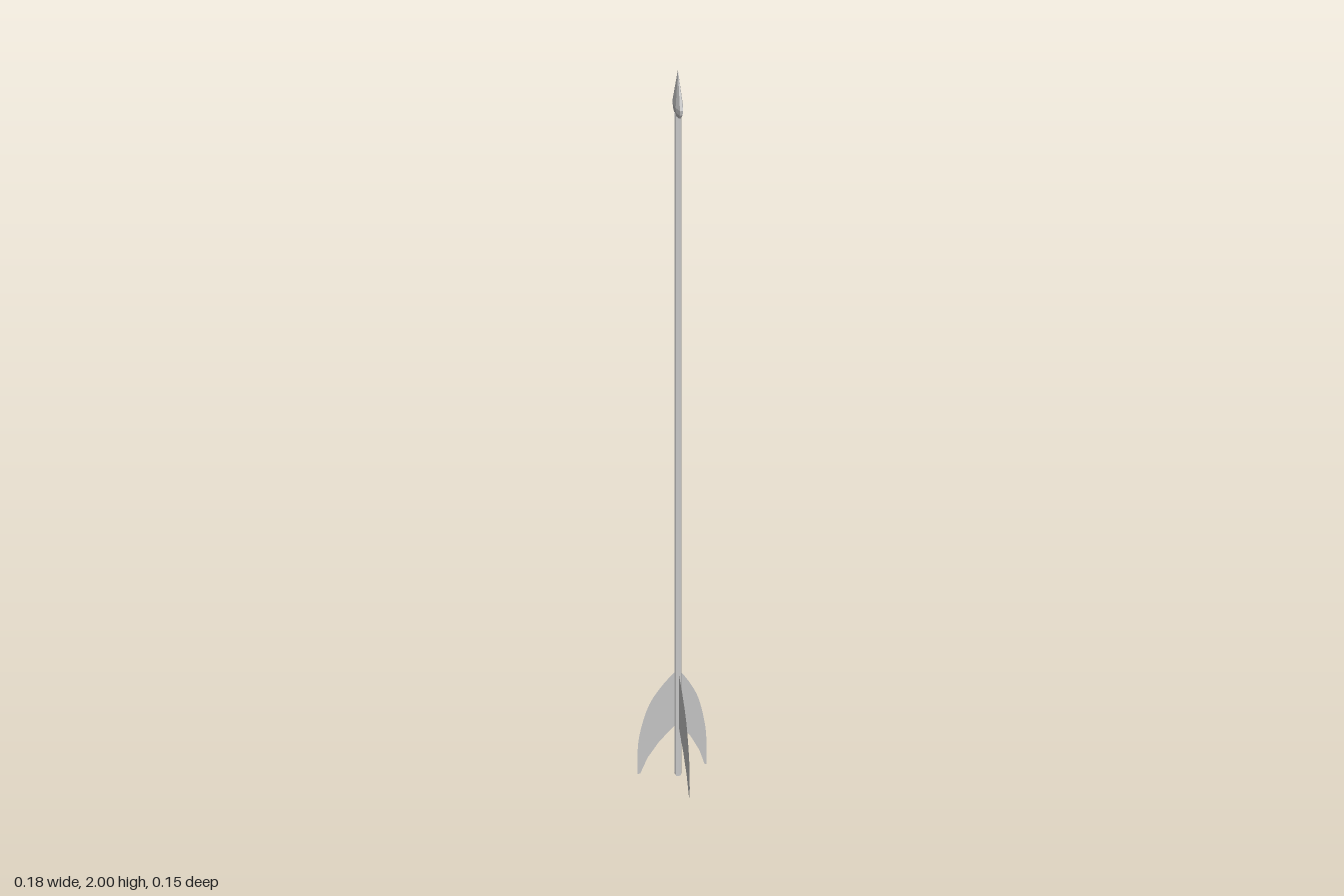
import * as THREE from 'three';

const AXIS_Z = -0.026;

export function createModel() {
  const model = new THREE.Group();
  const solid = new THREE.MeshStandardMaterial({ color: 0xcccccc, flatShading: true });
  const thin = new THREE.MeshStandardMaterial({ color: 0xcccccc, flatShading: true, side: THREE.DoubleSide });

  const arrow = new THREE.Group();
  arrow.name = 'arrow';
  arrow.position.z = AXIS_Z;
  model.add(arrow);

  const add = (name, geometry, material) => {
    const mesh = new THREE.Mesh(geometry, material);
    mesh.name = name;
    arrow.add(mesh);
    return mesh;
  };

  // Shaft: eight-sided rod with a shallow string notch across its lower end
  const bottom = 0.013, top = 1.88;
  const shaft = new THREE.CylinderGeometry(0.009, 0.009, top - bottom, 8);
  shaft.translate(0, (top + bottom) / 2, 0);
  const p = shaft.attributes.position;
  for (let i = 0; i < p.count; i++) {
    if (p.getY(i) < 0.1 && Math.abs(p.getZ(i)) < 0.003) p.setY(i, bottom + 0.008);
  }
  add('shaft', shaft, solid);

  // Head: faceted point, flattened sideways
  const profile = [[0, 1.87], [0.6, 1.872], [0.88, 1.885], [1, 1.9], [0, 2]]
    .map(([r, y]) => new THREE.Vector2(r, y));
  const head = new THREE.LatheGeometry(profile, 8, Math.PI / 8);
  head.scale(0.0105, 1, 0.0345);
  add('arrowhead', head, solid);

  // Fletching: three swept-back vanes spaced evenly around the shaft
  const vane = new THREE.Shape();
  vane.moveTo(0.006, 0.303);
  vane.splineThru([[0.042, 0.254], [0.074, 0.195], [0.096, 0.115], [0.102, 0.055], [0.102, 0]]
    .map(([r, y]) => new THREE.Vector2(r, y)));
  vane.lineTo(0.095, 0.002);
  vane.quadraticCurveTo(0.075, 0.072, 0.006, 0.152);
  vane.closePath();
  const vaneGeometry = new THREE.ShapeGeometry(vane, 3);
  ['frontVane', 'rightRearVane', 'leftRearVane'].forEach((name, i) => {
    add(name, vaneGeometry, thin).rotation.y = -Math.PI / 2 - i * Math.PI * 2 / 3;
  });

  return model;
}
